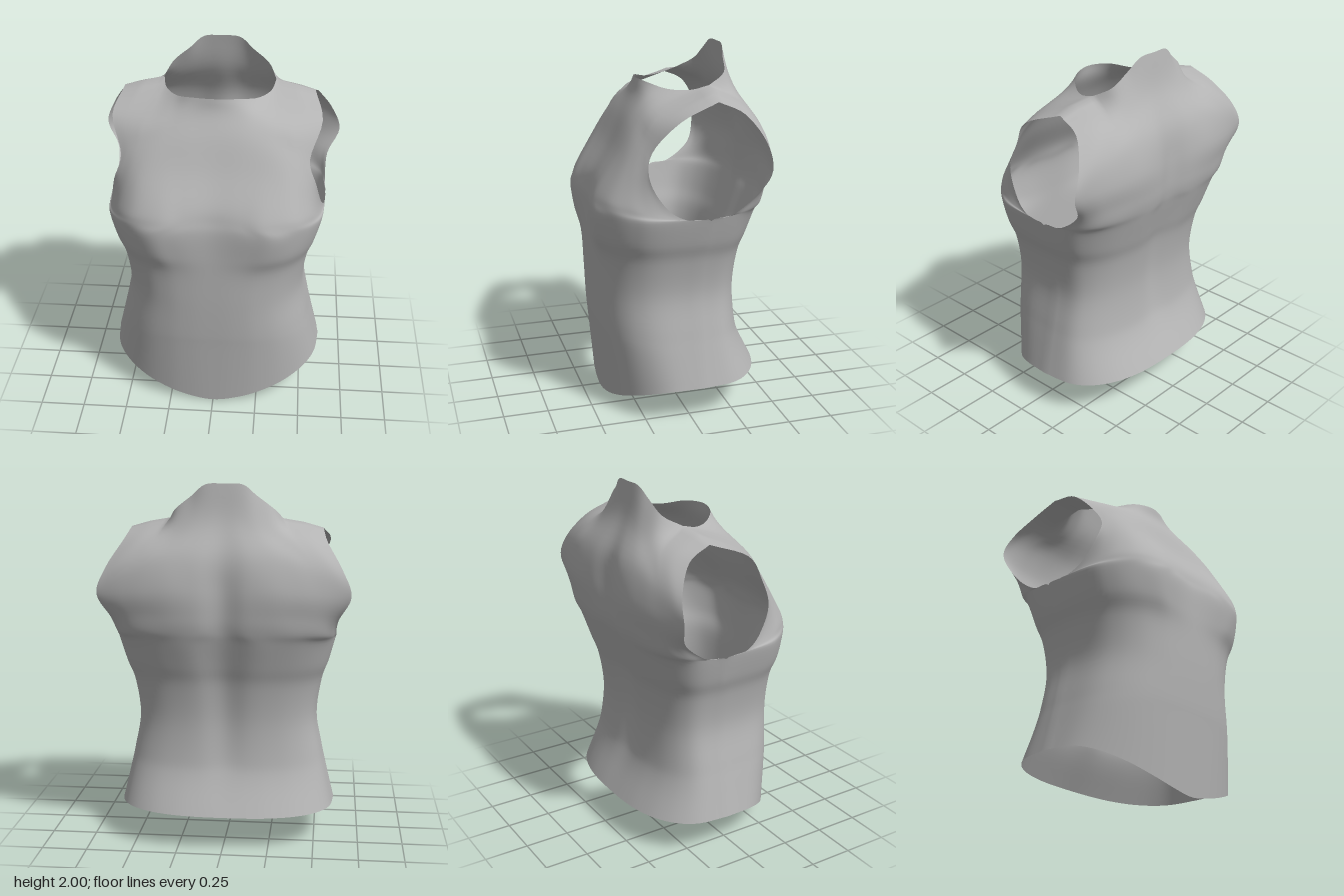
import * as THREE from 'three';
import { mergeGeometries, mergeVertices } from 'three/addons/utils/BufferGeometryUtils.js';

const SUB = 5; // subdivisions per control cell
const ANGLES = [0, 8, 20, 36, 54, 72, 90]; // centre to side seam

// Lower body levels: y, half width, front z, back z, seam z, front and back roundness
const LEVELS = [
  [0.2, 0.61, 0.395, -0.465, -0.05, 0.8, 0.76],
  [0.38, 0.567, 0.425, -0.375, -0.05, 0.75, 0.73],
  [0.5, 0.54, 0.435, -0.345, -0.05, 0.72, 0.72],
  [0.7, 0.505, 0.445, -0.335, -0.05, 0.7, 0.7],
  [0.9, 0.53, 0.45, -0.36, -0.05, 0.67, 0.7],
  [1.02, 0.57, 0.452, -0.395, -0.06, 0.6, 0.68],
  [1.155, 0.605, 0.45, -0.437, -0.08, 0.56, 0.67],
];
const BUST = [0, 0, 0, 0, 0.003, 0.028, 0.044];
const GROOVE = [0, 0.005, 0.015, 0.025, 0.03, 0.03, 0.03];

// Shoulder seam shared by both panels: neck side to armhole
const SHOULDER = [[0.308, 1.81, -0.16], [0.42, 1.79, -0.14], [0.525, 1.76, -0.14]];

// Chest rows from armpit to neckline, centre to armhole
const CHEST = [
  [[0, 1.225, 0.438], [0.15, 1.225, 0.455], [0.28, 1.22, 0.469], [0.43, 1.215, 0.42], [0.525, 1.2, 0.325], [0.575, 1.185, 0.21], [0.6, 1.165, 0.04]],
  [[0, 1.31, 0.41], [0.15, 1.31, 0.42], [0.28, 1.3, 0.43], [0.41, 1.28, 0.405], [0.5, 1.26, 0.335], [0.55, 1.24, 0.25], [0.578, 1.225, 0.145]],
  [[0, 1.46, 0.325], [0.15, 1.46, 0.33], [0.28, 1.45, 0.335], [0.38, 1.43, 0.33], [0.45, 1.41, 0.305], [0.51, 1.39, 0.26], [0.545, 1.37, 0.23]],
  [[0, 1.62, 0.25], [0.15, 1.62, 0.25], [0.26, 1.61, 0.245], [0.34, 1.59, 0.24], [0.41, 1.56, 0.235], [0.465, 1.54, 0.22], [0.505, 1.51, 0.21]],
  [[0, 1.74, 0.185], [0.14, 1.73, 0.178], [0.24, 1.715, 0.16], [0.32, 1.7, 0.145], [0.39, 1.69, 0.13], [0.48, 1.68, 0.105], [0.565, 1.675, 0.075]],
  [[0, 1.82, 0.167], [0.13, 1.81, 0.13], [0.22, 1.785, 0.045], [0.285, 1.785, -0.06], ...SHOULDER],
];

// Upper back rows from armpit to raised neck edge
const BACK = [
  [[0, 1.225, -0.425], [0.13, 1.225, -0.452], [0.27, 1.225, -0.45], [0.41, 1.22, -0.425], [0.52, 1.21, -0.38], [0.58, 1.2, -0.31], [0.605, 1.178, -0.2]],
  [[0, 1.31, -0.435], [0.13, 1.31, -0.464], [0.27, 1.31, -0.465], [0.4, 1.31, -0.443], [0.51, 1.3, -0.41], [0.58, 1.29, -0.37], [0.615, 1.285, -0.335]],
  [[0, 1.45, -0.437], [0.13, 1.45, -0.468], [0.27, 1.45, -0.475], [0.41, 1.44, -0.455], [0.53, 1.43, -0.425], [0.62, 1.42, -0.4], [0.68, 1.42, -0.385]],
  [[0, 1.62, -0.42], [0.13, 1.62, -0.438], [0.25, 1.62, -0.435], [0.36, 1.61, -0.425], [0.46, 1.59, -0.41], [0.56, 1.575, -0.39], [0.63, 1.56, -0.367]],
  [[0, 1.81, -0.34], [0.09, 1.8, -0.345], [0.18, 1.77, -0.35], [0.28, 1.74, -0.34], [0.37, 1.72, -0.33], [0.46, 1.71, -0.31], [0.55, 1.695, -0.275]],
  [[0, 2, -0.303], [0.1, 1.995, -0.298], [0.175, 1.935, -0.28], [0.265, 1.865, -0.255], ...SHOULDER],
];

const mix = (a, b, t) => a.map((v, k) => v + (b[k] - v) * t);

// Smooth curve through a row of points; "straight" joins two points directly
function spline(points, t, straight = false) {
  const i = Math.min(Math.floor(t), points.length - 2);
  const f = t - i;
  const b = points[i], c = points[i + 1];
  if (straight) return mix(b, c, f);
  const a = points[i - 1] ?? mix(c, b, 2);
  const d = points[i + 2] ?? mix(b, c, 2);
  return b.map((v, k) => v + 0.5 * f * (c[k] - a[k] + f * (2 * a[k] - 5 * v + 4 * c[k] - d[k]
    + f * (3 * (v - c[k]) + d[k] - a[k]))));
}

// Top edge: straight shoulder seams either side of a smooth neckline
function topEdge(row, u) {
  return Math.abs(u - 6) >= 4 ? spline(row, u, true) : spline(row.slice(2, 11), u - 2);
}

// One row of the lower body, from the centre line to the side seam
function lowerRow([y, w, front, back, seam, frontPower, backPower], level, isFront) {
  const power = isFront ? frontPower : backPower;
  return ANGLES.map((deg) => {
    const a = deg * Math.PI / 180;
    const c = deg === 90 ? 0 : Math.cos(a) ** power;
    const x = w * Math.sin(a) ** power;
    let z = seam + ((isFront ? front : back) - seam) * c;
    if (isFront) z += BUST[level] * Math.exp(-(((x - 0.31) / 0.16) ** 2)) * c;
    else z += GROOVE[level] * Math.exp(-((x / 0.09) ** 2));
    const dip = isFront && level === 0;
    return [x, dip ? 0.2 * (x / 0.61) ** 1.5 : y, z];
  });
}

// Front or back panel, mirrored about the centre line
function panel(isFront) {
  const half = [...LEVELS.map((l, i) => lowerRow(l, i, isFront)), ...(isFront ? CHEST : BACK)];
  const rows = half.map((r) => [...r.slice(1).reverse().map(([x, y, z]) => [-x, y, z]), ...r]);
  const last = rows.length - 1;
  const nu = 12 * SUB, nv = last * SUB;
  const position = [], index = [];
  for (let j = 0; j <= nv; j++) {
    for (let i = 0; i <= nu; i++) {
      const u = i / SUB, v = j / SUB;
      const atArmpit = (i === 0 || i === nu) && v >= 5 && v <= 6;
      const column = rows.map((r, k) => (k === last ? topEdge(r, u) : spline(r, u)));
      position.push(...spline(column, v, atArmpit));
      if (i < nu && j < nv) {
        const a = j * (nu + 1) + i, b = a + 1, c = a + nu + 1, d = c + 1;
        index.push(...(isFront ? [a, b, d, a, d, c] : [a, d, b, a, c, d]));
      }
    }
  }
  const geometry = new THREE.BufferGeometry();
  geometry.setAttribute('position', new THREE.Float32BufferAttribute(position, 3));
  geometry.setIndex(index);
  return geometry;
}

export function createModel() {
  const group = new THREE.Group();
  group.name = 'torso';
  const grey = new THREE.MeshStandardMaterial({ color: 0xb4b4b4, side: THREE.DoubleSide });
  grey.name = 'grey';

  // Open shell joined along side and shoulder seams
  const geometry = mergeVertices(mergeGeometries([panel(true), panel(false)]), 1e-4);
  geometry.computeVertexNormals();
  const shell = new THREE.Mesh(geometry, grey);
  shell.name = 'torsoShell';
  group.add(shell);
  return group;
}
